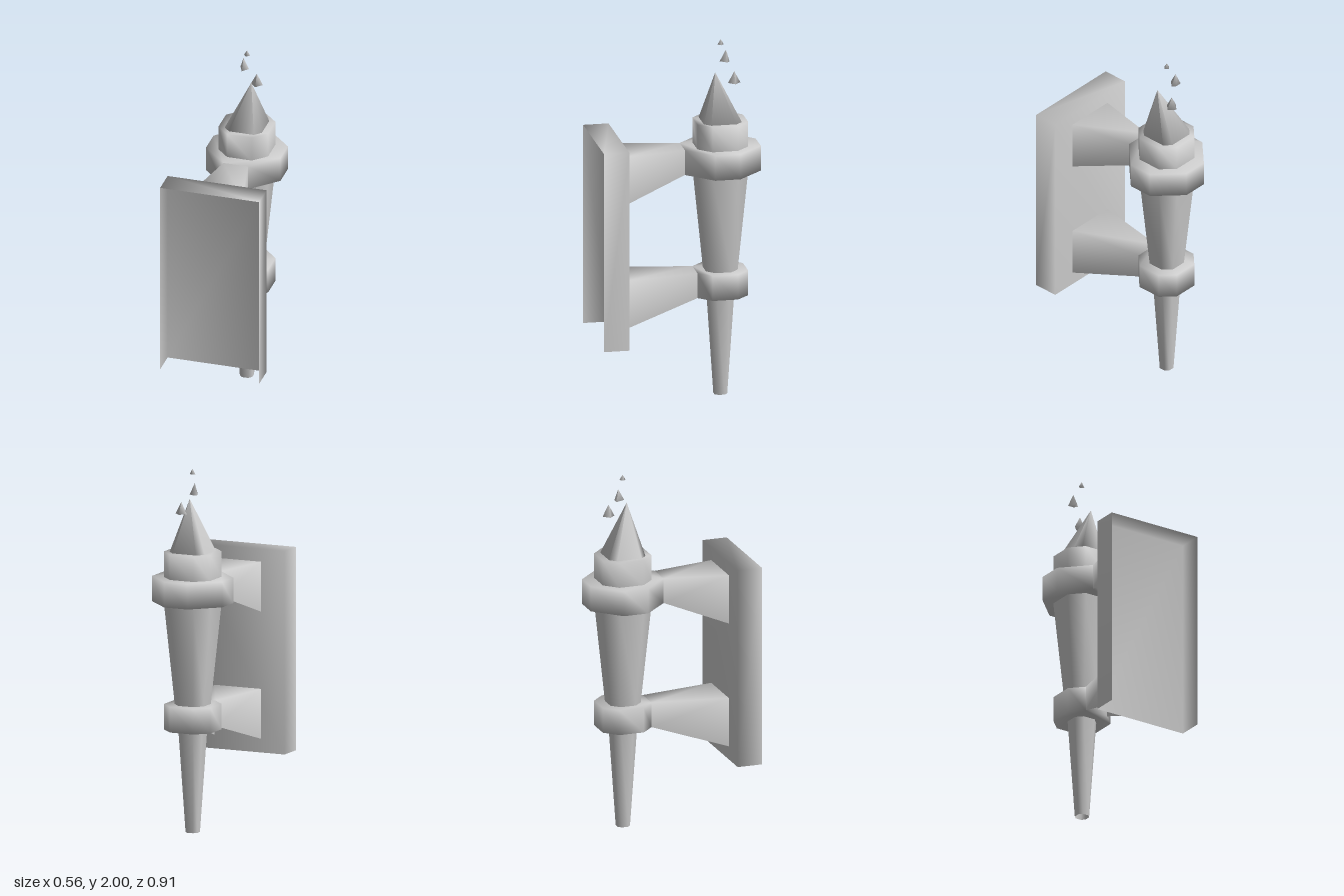
import * as THREE from 'three';

const AXIS_Z = -0.245; // the torch stands behind the wall plate

// Skins a list of equal-length cross-sections; vertices are shared for smooth shading.
function skin(sections, { closed = true, capStart = false, capEnd = false } = {}) {
  const n = sections[0].length;
  const index = [];
  for (let s = 0; s < sections.length - 1; s++) {
    for (let i = 0; i < (closed ? n : n - 1); i++) {
      const a = s * n + i, b = s * n + (i + 1) % n;
      index.push(a, b, a + n, b, b + n, a + n);
    }
  }
  const last = (sections.length - 1) * n;
  for (let i = 1; i < n - 1; i++) {
    if (capStart) index.push(0, i + 1, i);
    if (capEnd) index.push(last, last + i, last + i + 1);
  }
  const geo = new THREE.BufferGeometry();
  geo.setAttribute('position', new THREE.Float32BufferAttribute(sections.flat(2), 3));
  geo.setIndex(index);
  geo.computeVertexNormals();
  return geo;
}

// Square of half-width h with chamfered corners; c is half the straight edge.
function octagon(h, c, y) {
  return [[-c, h], [c, h], [h, c], [h, -c], [c, -h], [-c, -h], [-h, -c], [-h, c]]
    .map(([x, z]) => [x, y, z + AXIS_Z]);
}

// Pyramid from a flat base of [x, z] points to an apex.
function pyramid(base, y, apex) {
  return skin([base.map(([x, z]) => [x, y, z]), base.map(() => apex)], { capStart: true });
}

// Three-sided channel section, open underneath.
function channel(w, bottom, top, z) {
  return [[-w, bottom, z], [-w, top, z], [w, top, z], [w, bottom, z]];
}

export function createModel() {
  const group = new THREE.Group();
  const solid = new THREE.MeshStandardMaterial({ color: 0xcccccc });
  const thin = new THREE.MeshStandardMaterial({ color: 0xcccccc, side: THREE.DoubleSide });
  const add = (name, geo, mat = solid) => {
    const mesh = new THREE.Mesh(geo, mat);
    mesh.name = name;
    group.add(mesh);
  };

  // Wall plate: shell open at the front and the bottom
  add('wallPlate', skin([channel(0.28, 0.355, 1.475, 0.455), channel(0.28, 0.355, 1.475, 0.315)],
    { closed: false, capEnd: true }), thin);

  // Tapered shaft, open at the foot
  add('shaft', skin([[0.035, 0], [0.07, 0.565], [0.0875, 0.705], [0.14, 1.265]]
    .map(([h, y]) => octagon(h, h / 2, y))), thin);

  // Holder rings, each with a flaring arm to the plate
  for (const [name, h, top] of [['lower', 0.14, 0.705], ['upper', 0.21, 1.405]]) {
    add(name + 'Ring', skin([octagon(h, 0.07, top - 0.14), octagon(h, 0.07, top)],
      { capStart: true, capEnd: true }));
    add(name + 'Arm', skin([channel(0.14, top - 0.275, top, 0.315),
      channel(0.07, top - 0.14, top, AXIS_Z + h)], { closed: false }), thin);
  }

  // Torch head
  add('torchHead', skin([octagon(0.14, 0.07, 1.4), octagon(0.14, 0.07, 1.545)], { capEnd: true }));

  // Flame leaning to one side
  const flameBase = octagon(0.105, 0.07, 0).map(([x, , z]) => [x, z]);
  add('flame', pyramid(flameBase, 1.545, [0.035, 1.825, -0.21]));

  // Sparks above the flame
  const diamond = (x, z, r) => [[x, z + r], [x + r, z], [x, z - r], [x - r, z]];
  add('lowSpark', pyramid(diamond(0.035, -0.315, 0.034), 1.76, [0.035, 1.825, -0.315]));
  add('middleSpark', pyramid([[-0.031, -0.248], [0, -0.283], [-0.017, -0.3], [-0.053, -0.3]],
    1.865, [-0.031, 1.93, -0.283]));
  add('highSpark', pyramid(diamond(0, -0.247, 0.0175), 1.97, [0, 2, -0.247]));

  return group;
}
